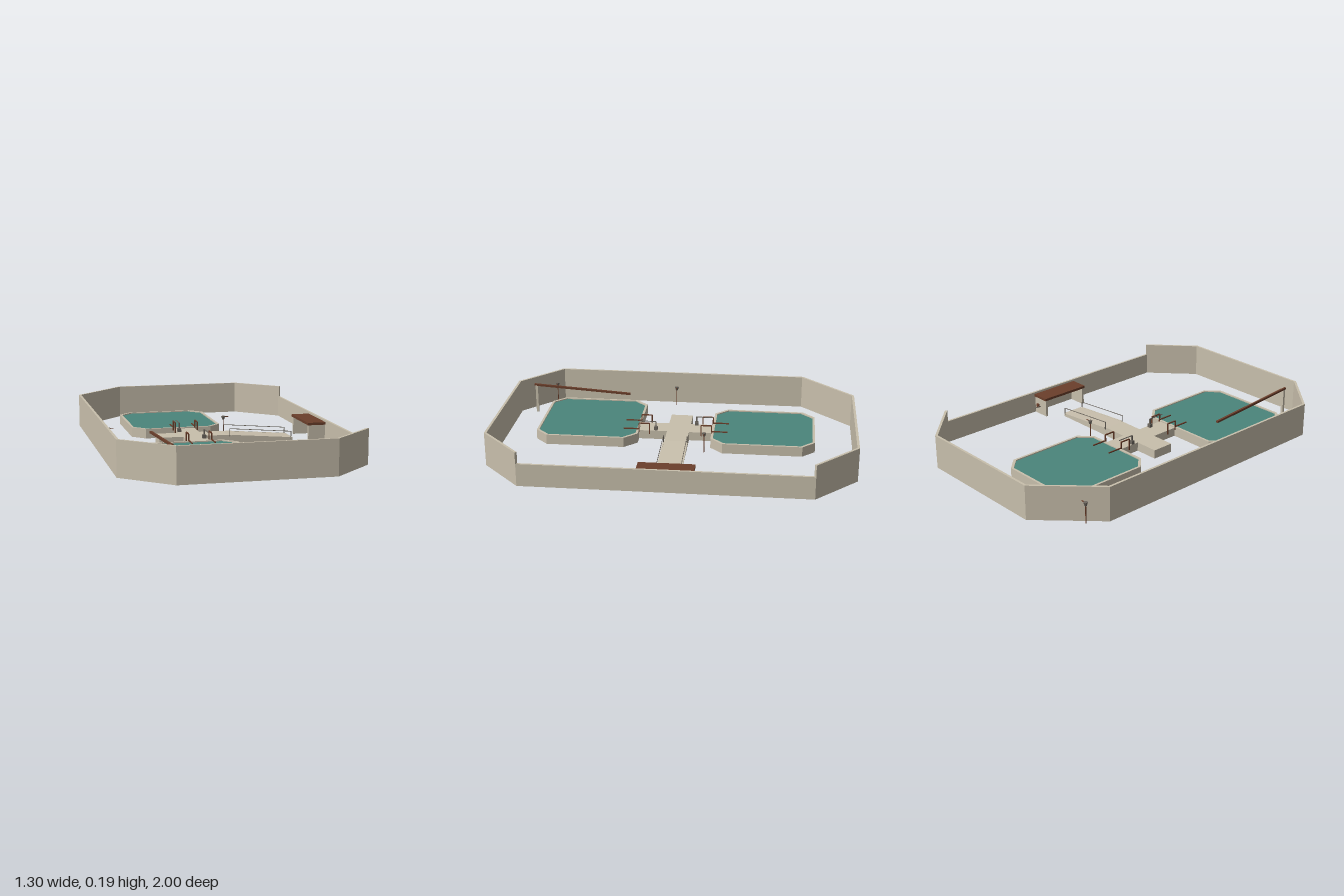
import * as THREE from 'three';

const mat = (name, color, side = THREE.FrontSide) => {
  const m = new THREE.MeshStandardMaterial({ color, side });
  m.name = name;
  return m;
};

export function createModel() {
  const model = new THREE.Group();
  model.name = 'poolCourtyard';
  const stone = mat('stone', 0xc8bfac);
  const water = mat('water', 0x4a857b);
  const wood = mat('wood', 0x6b3f2b);
  const metal = mat('metal', 0x6d675f);

  const group = (name) => {
    const g = new THREE.Group();
    g.name = name;
    model.add(g);
    return g;
  };
  const add = (parent, name, geo, m) => {
    const mesh = new THREE.Mesh(geo, m);
    mesh.name = name;
    parent.add(mesh);
    return mesh;
  };
  // box given by its min and max corners
  const box = (parent, name, m, x0, x1, y0, y1, z0, z1) => {
    const mesh = add(parent, name, new THREE.BoxGeometry(x1 - x0, y1 - y0, z1 - z0), m);
    mesh.position.set((x0 + x1) / 2, (y0 + y1) / 2, (z0 + z1) / 2);
    return mesh;
  };
  // square bar between two points
  const bar = (parent, name, m, a, b, t) => {
    const p = new THREE.Vector3(...a), q = new THREE.Vector3(...b);
    const mesh = add(parent, name, new THREE.BoxGeometry(t, t, p.distanceTo(q)), m);
    mesh.position.copy(p).add(q).multiplyScalar(0.5);
    mesh.lookAt(q);
    return mesh;
  };
  // shape drawn in plan (x, z), extruded upward
  const planExtrude = (shape, y0, y1) => {
    const geo = new THREE.ExtrudeGeometry(shape, { depth: y1 - y0, bevelEnabled: false });
    return geo.rotateX(Math.PI / 2).translate(0, y1, 0);
  };
  const octagon = (x0, x1, z0, z1, c) => [
    [x0 + c, z0], [x1 - c, z0], [x1, z0 + c], [x1, z1 - c],
    [x1 - c, z1], [x0 + c, z1], [x0, z1 - c], [x0, z0 + c],
  ].map(([x, z]) => new THREE.Vector2(x, z));

  // perimeter wall, one slab per side, lower along +x
  const walls = group('perimeterWall');
  const corners = [[-0.36, -1], [0.41, -1], [0.65, -0.775], [0.65, 0.77],
    [0.41, 0.995], [-0.40, 0.995], [-0.65, 0.77], [-0.65, -0.705]];
  const thick = 0.013;
  corners.forEach(([x, z], i) => {
    const [x2, z2] = corners[(i + 1) % corners.length];
    const dx = x2 - x, dz = z2 - z, len = Math.hypot(dx, dz);
    const h = i === 2 ? 0.125 : 0.19;
    const slab = add(walls, 'wallSlab', new THREE.BoxGeometry(len, h, thick), stone);
    slab.position.set((x + x2) / 2 - dz / len * thick / 2, h / 2, (z + z2) / 2 + dx / len * thick / 2);
    slab.rotation.y = -Math.atan2(dz, dx);
  });

  // pools: basin with a raised rim and a water surface just below it
  const pool = (name, x0, x1, z0, z1) => {
    const g = group(name), t = 0.013, c = 0.07;
    const inner = octagon(x0 + t, x1 - t, z0 + t, z1 - t, c - 0.005);
    const rim = new THREE.Shape(octagon(x0, x1, z0, z1, c));
    rim.holes.push(new THREE.Path(inner));
    add(g, 'rim', planExtrude(rim, 0, 0.056), stone);
    add(g, 'basinFloor', planExtrude(new THREE.Shape(inner), 0, 0.044), stone);
    add(g, 'waterSurface', planExtrude(new THREE.Shape(inner), 0.044, 0.05), water);
  };
  pool('backPool', -0.40, 0.12, -0.778, -0.195);
  pool('frontPool', -0.50, 0.09, 0.22, 0.80);

  // cross-shaped deck
  const deck = group('deck');
  const cross = [[-0.30, -0.066], [-0.165, -0.066], [-0.165, -0.195], [-0.045, -0.195],
    [-0.045, -0.066], [0.09, -0.066], [0.09, 0.06], [-0.045, 0.06],
    [-0.045, 0.22], [-0.165, 0.22], [-0.165, 0.06], [-0.30, 0.06]];
  const crossShape = new THREE.Shape(cross.map(([x, z]) => new THREE.Vector2(x, z)));
  add(deck, 'deckSlab', planExtrude(crossShape, 0, 0.05), stone);

  // ramp falling toward +x
  const side = new THREE.Shape([[0.09, 0], [0.47, 0], [0.47, 0.02], [0.09, 0.05]]
    .map(([x, y]) => new THREE.Vector2(x, y)));
  add(deck, 'ramp', new THREE.ExtrudeGeometry(side, { depth: 0.126, bevelEnabled: false })
    .translate(0, 0, -0.066), stone);
  for (const z of [-0.069, 0.063]) {
    bar(deck, 'rampCurb', stone, [0.11, 0.046, z], [0.46, 0.018, z], 0.007);
    bar(deck, 'rampRail', metal, [0.1, 0.085, z], [0.46, 0.055, z], 0.003);
    bar(deck, 'rampRailPost', metal, [0.1, 0.04, z], [0.1, 0.085, z], 0.003);
    bar(deck, 'rampRailPost', metal, [0.46, 0.01, z], [0.46, 0.055, z], 0.003);
  }

  // handrails from the deck into each pool, and a fountain spout beside them
  const entry = (name, edge, dir, spoutX) => {
    const g = group(name);
    for (const x of [-0.17, -0.042]) {
      const zIn = edge - dir * 0.06, zOut = edge + dir * 0.09;
      bar(g, 'handrail', wood, [x, 0.095, zIn], [x, 0.095, edge], 0.006);
      bar(g, 'innerPost', wood, [x, 0.03, zIn], [x, 0.095, zIn], 0.006);
      bar(g, 'outerPost', wood, [x, 0.04, edge], [x, 0.095, edge], 0.006);
      bar(g, 'waterRail', wood, [x, 0.06, edge], [x, 0.06, zOut], 0.006);
    }
    const zs = edge - dir * 0.095;
    bar(g, 'spoutPost', metal, [spoutX, 0.05, zs], [spoutX, 0.1, zs], 0.007);
    box(g, 'spoutBase', metal, spoutX - 0.01, spoutX + 0.01, 0.05, 0.07, zs - 0.01, zs + 0.01);
    bar(g, 'spoutArm', metal, [spoutX, 0.1, zs], [spoutX, 0.1, edge], 0.004);
  };
  entry('backPoolEntry', -0.195, -1, -0.155);
  entry('frontPoolEntry', 0.22, 1, -0.062);

  // post lamps
  for (const [x, z] of [[-0.585, -0.805], [-0.585, 0.06], [-0.585, 0.80], [0.12, -0.165]]) {
    const g = group('postLamp');
    bar(g, 'lampPost', wood, [x, 0, z], [x, 0.115, z], 0.004);
    const head = add(g, 'lampHead', new THREE.CylinderGeometry(0.012, 0.006, 0.02, 8), metal);
    head.position.set(x, 0.108, z);
    bar(g, 'lampArm', wood, [x, 0.115, z], [x + 0.03, 0.115, z], 0.004);
  }

  // sloping beam with its support post
  const beam = group('slopingBeam');
  bar(beam, 'beam', wood, [-0.397, 0.134, 0.32], [-0.397, 0.172, 0.90], 0.012);
  box(beam, 'beamPost', stone, -0.404, -0.39, 0, 0.166, 0.88, 0.894);

  // bench table by the low wall
  const table = group('wallTable');
  box(table, 'tableTop', wood, 0.533, 0.637, 0.1, 0.114, -0.155, 0.147);
  for (const z of [-0.15, 0.128]) box(table, 'tableLeg', stone, 0.537, 0.635, 0, 0.1, z, z + 0.014);
  box(table, 'sidePlate', wood, 0.598, 0.618, 0.04, 0.06, -0.158, -0.15);
  bar(table, 'sidePeg', metal, [0.587, 0.05, -0.15], [0.587, 0.05, -0.19], 0.003);

  return model;
}
